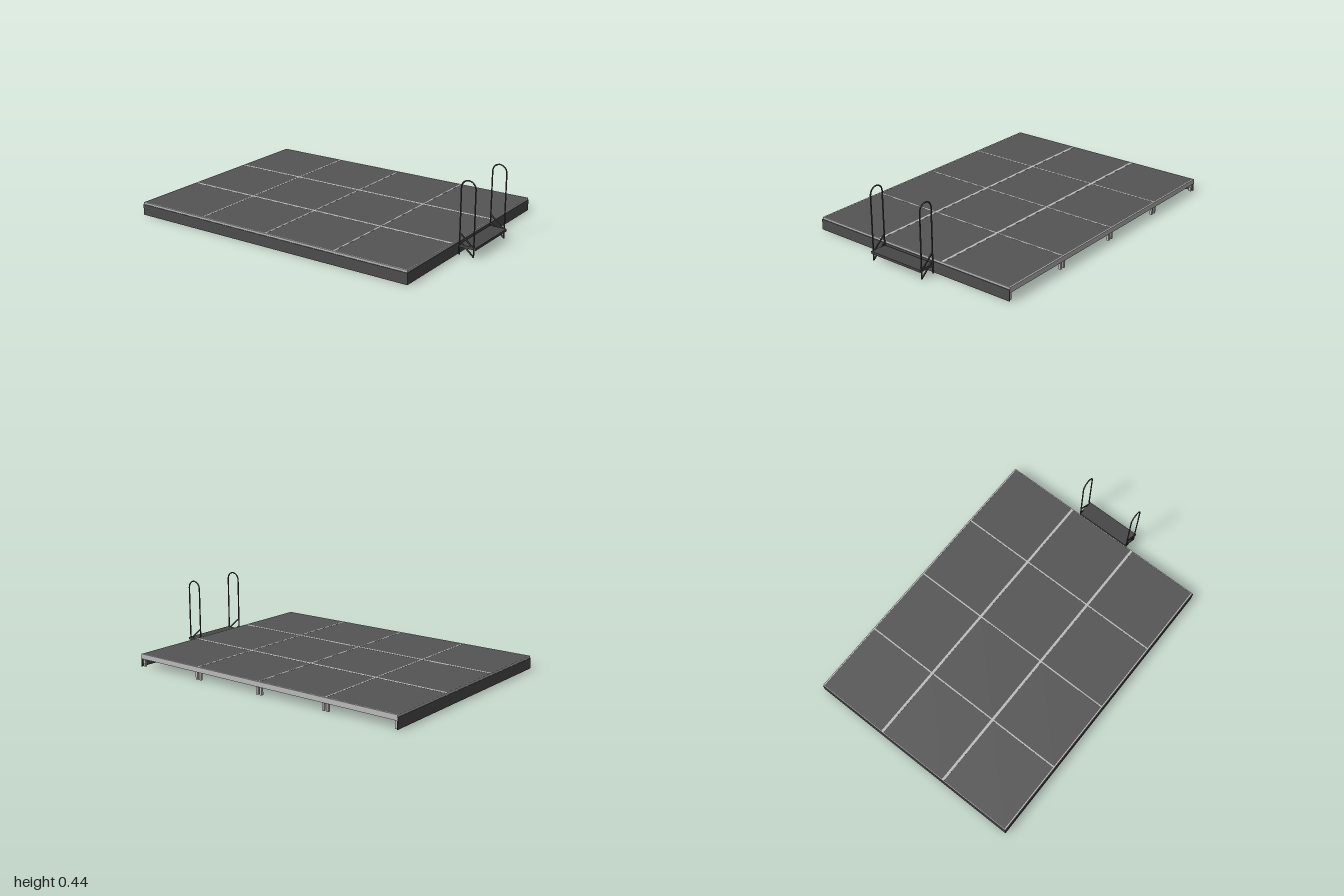
import * as THREE from 'three';

export function createModel() {
  const deckMat = new THREE.MeshStandardMaterial({ name: 'deck grey', color: 0x555555 });
  const skirtMat = new THREE.MeshStandardMaterial({ name: 'skirt grey', color: 0x4e4e4e });
  const frameMat = new THREE.MeshStandardMaterial({ name: 'aluminium', color: 0xbcbcbc });
  const railMat = new THREE.MeshStandardMaterial({ name: 'dark steel', color: 0x464646 });
  const model = new THREE.Group();
  model.name = 'stagePlatform';

  const box = (parent, name, mat, [w, h, d], [x, y, z]) => {
    const m = new THREE.Mesh(new THREE.BoxGeometry(w, h, d), mat);
    m.name = name;
    m.position.set(x, y, z);
    parent.add(m);
    return m;
  };

  // Deck modules: panel, four edge rails and four corner legs each
  const X0 = -0.998, X1 = 0.882, Z = 0.706, NX = 4, NZ = 3, TOP = 0.08;
  const px = (X1 - X0) / NX, pz = (2 * Z) / NZ;
  const railH = 0.032, wx = 0.004, wz = 0.0075, leg = 0.014;
  for (let i = 0; i < NX; i++) {
    for (let j = 0; j < NZ; j++) {
      const unit = new THREE.Group();
      unit.name = 'deckModule';
      unit.position.set(X0 + (i + 0.5) * px, 0, -Z + (j + 0.5) * pz);
      model.add(unit);
      box(unit, 'deckPanel', deckMat, [px - 2 * wx, 0.01, pz - 2 * wz], [0, TOP - 0.0055, 0]);
      for (const s of [-1, 1]) {
        box(unit, 'frameRailLong', frameMat, [px, railH, wz], [0, TOP - railH / 2, s * (pz - wz) / 2]);
        box(unit, 'frameRailCross', frameMat, [wx, railH, pz - 2 * wz], [s * (px - wx) / 2, TOP - railH / 2, 0]);
        for (const t of [-1, 1])
          box(unit, 'leg', frameMat, [leg, 0.07, leg],
            [s * (px / 2 - wx - leg / 2 - 0.003), 0.035, t * (pz / 2 - wz - leg / 2)]);
      }
    }
  }

  // Skirt boards on the front and both ends; the back stays open
  const sh = 0.067;
  box(model, 'skirtFront', skirtMat, [X1 - X0 + 0.006, sh, 0.004], [(X0 + X1) / 2 + 0.001, sh / 2, Z + 0.002]);
  box(model, 'skirtRight', skirtMat, [0.004, sh, 2 * Z], [X0, sh / 2, 0]);
  box(model, 'skirtLeft', skirtMat, [0.004, sh, 2 * Z], [X1 + 0.002, sh / 2, 0]);

  // Entry step with hooped handrails
  const step = new THREE.Group();
  step.name = 'entryStep';
  model.add(step);
  box(step, 'tread', railMat, [0.105, 0.015, 0.37], [0.9475, 0.0525, 0]);

  const xa = 0.897, xb = 0.986, r = (xb - xa) / 2, yArc = 0.392, tube = 0.0042;
  const hoop = new THREE.CurvePath();
  const pts = [new THREE.Vector3(xa, 0, 0), new THREE.Vector3(xa, 0.2, 0)];
  for (let k = 0; k <= 12; k++) {
    const a = Math.PI * (1 - k / 12);
    pts.push(new THREE.Vector3((xa + xb) / 2 + r * Math.cos(a), yArc + r * Math.sin(a), 0));
  }
  pts.push(new THREE.Vector3(xb, 0.2, 0), new THREE.Vector3(xb, 0, 0));
  for (let k = 1; k < pts.length; k++) hoop.add(new THREE.LineCurve3(pts[k - 1], pts[k]));
  const hoopGeo = new THREE.TubeGeometry(hoop, 120, tube, 8, false);

  for (const z of [-0.182, 0.182]) {
    const side = new THREE.Group();
    side.name = 'handrail';
    side.position.z = z;
    step.add(side);
    const h = new THREE.Mesh(hoopGeo, railMat);
    h.name = 'hoop';
    side.add(h);
    // Sloping stringers
    for (const y of [0.128, 0.08]) {
      const dx = xb - xa, dy = -0.077;
      const bar = box(side, 'stringer', railMat, [Math.hypot(dx, dy), 0.008, 0.006], [(xa + xb) / 2, y + dy / 2, 0]);
      bar.rotation.z = Math.atan2(dy, dx);
    }
  }
  return model;
}
